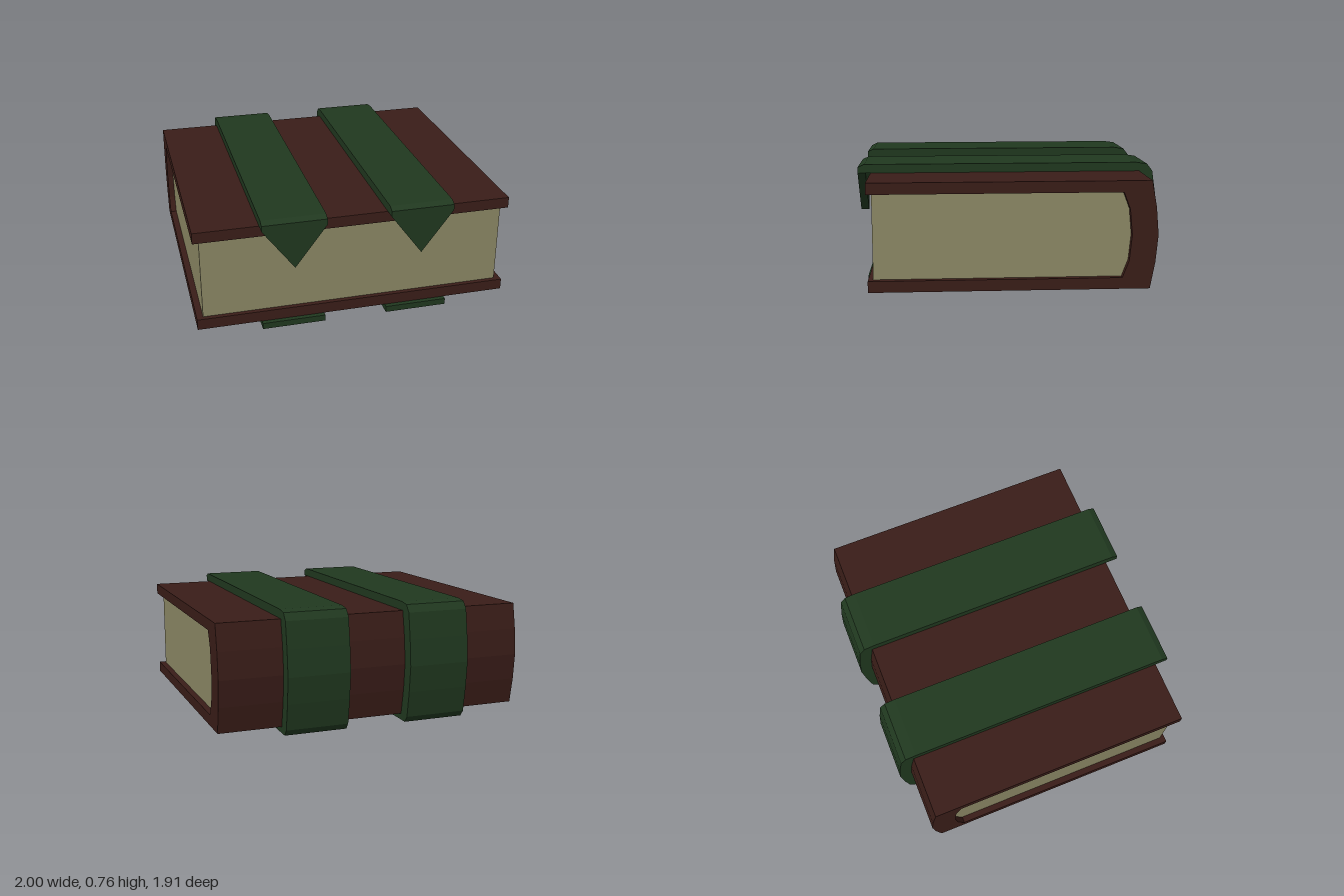
import * as THREE from 'three';

const paint = (color) => new THREE.MeshStandardMaterial({ color, flatShading: true });

// Extrudes a side profile of [z, y] points along x, centred on x = 0
function slab(name, profile, width, material) {
  const shape = new THREE.Shape(profile.map(([z, y]) => new THREE.Vector2(z, y)));
  const geometry = new THREE.ExtrudeGeometry(shape, { depth: width, bevelEnabled: false });
  geometry.translate(0, 0, -width / 2).rotateY(-Math.PI / 2);
  const mesh = new THREE.Mesh(geometry, material);
  mesh.name = name;
  return mesh;
}

export function createModel() {
  const book = new THREE.Group();
  book.name = 'book';
  const leather = paint(0x3a1d18);
  const paper = paint(0x8c8865);
  const cloth = paint(0x20381f);

  // Curves running down the back of the book, top to bottom
  const pageBack = [[-0.66, 0.635], [-0.7, 0.53], [-0.715, 0.372], [-0.7, 0.215], [-0.66, 0.11]];
  const spine = [[-0.83, 0.705], [-0.86, 0.54], [-0.875, 0.372], [-0.86, 0.205], [-0.83, 0.04]];
  const strapBack = [[-0.81, 0.76], [-0.88, 0.75], [-0.915, 0.705], [-0.94, 0.54], [-0.955, 0.372],
    [-0.94, 0.205], [-0.915, 0.04], [-0.885, 0]];

  // Cover: two boards joined by the rounded spine
  book.add(slab('cover', [
    [0.875, 0.705], ...spine, [0.875, 0.04], [0.875, 0.11],
    ...[...pageBack].reverse(), [0.875, 0.635],
  ], 2, leather));

  // Page block, set in from the cover edges
  book.add(slab('pages', [[0.845, 0.635], ...pageBack, [0.845, 0.11]], 1.92, paper));

  // Two straps wrapped around the cover, each ending in a pointed flap
  for (const x of [-0.4, 0.4]) {
    const strap = new THREE.Group();
    strap.name = x > 0 ? 'leftStrap' : 'rightStrap';
    strap.position.x = x;
    strap.add(slab('band', [
      [0.955, 0.705], [0.955, 0.742], [0.915, 0.76], ...strapBack,
      [0.905, 0], [0.905, 0.04], ...[...spine].reverse(),
    ], 0.4, cloth));

    const triangle = new THREE.Shape([
      new THREE.Vector2(-0.2, 0.705), new THREE.Vector2(0, 0.438), new THREE.Vector2(0.2, 0.705),
    ]);
    const flap = new THREE.Mesh(
      new THREE.ExtrudeGeometry(triangle, { depth: 0.05, bevelEnabled: false }), cloth);
    flap.name = 'flap';
    flap.position.z = 0.905;
    strap.add(flap);
    book.add(strap);
  }
  return book;
}
